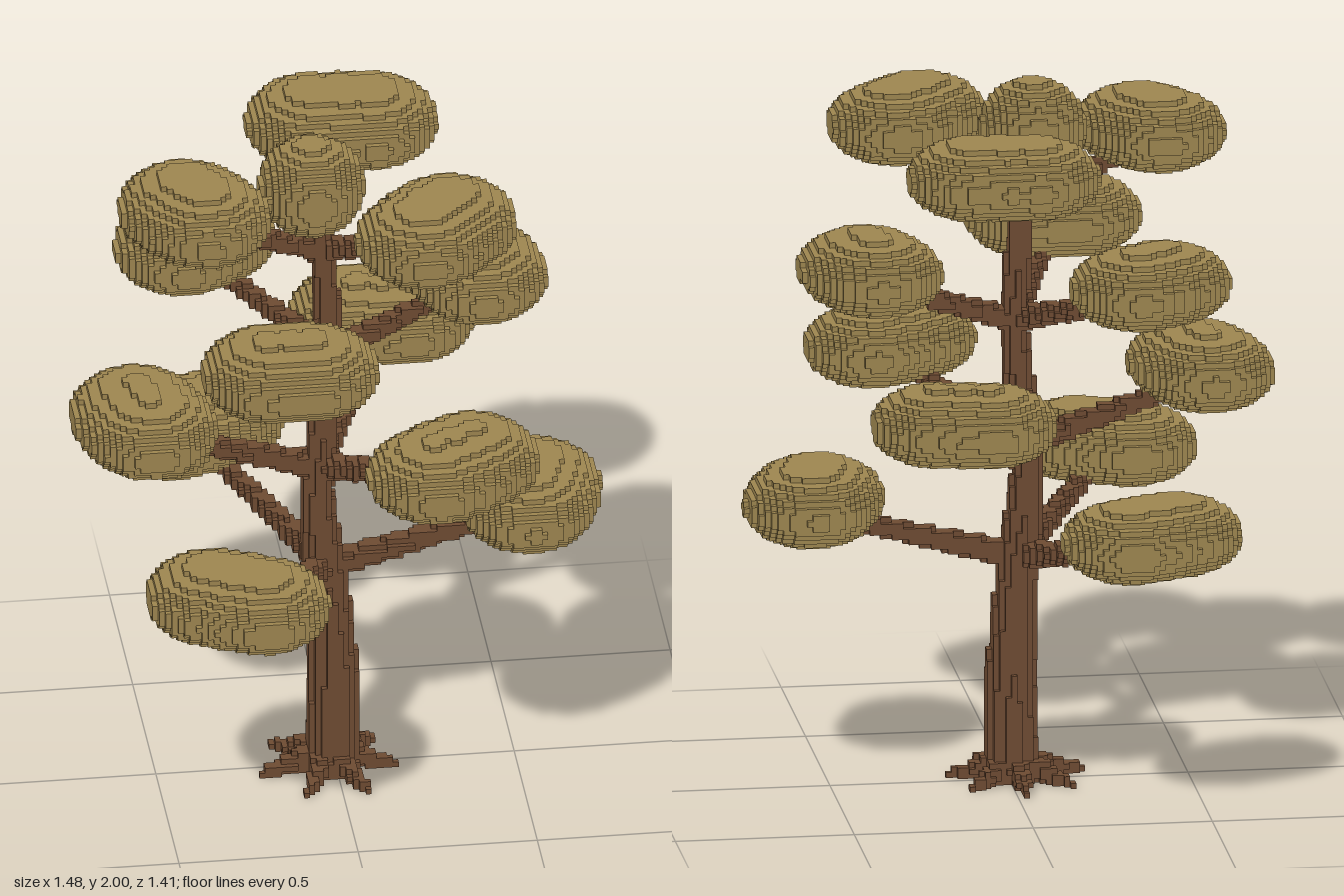
import * as THREE from 'three';

const S = 1 / 64; // voxel size
const OFF = 128, N = 256;
const key = (x, y, z) => ((x + OFF) * N + (y + OFF)) * N + (z + OFF);

// Sparse voxel grid: each cell remembers the part it belongs to
function createGrid() {
  const cells = new Map();
  const fill = (part, min, max, inside) => {
    const lo = min.map((v) => Math.floor(v / S)), hi = max.map((v) => Math.ceil(v / S));
    for (let x = lo[0]; x <= hi[0]; x++)
      for (let y = Math.max(0, lo[1]); y <= hi[1]; y++)
        for (let z = lo[2]; z <= hi[2]; z++)
          if (inside((x + 0.5) * S, (y + 0.5) * S, (z + 0.5) * S)) cells.set(key(x, y, z), { x, y, z, part });
  };
  const ellipsoid = (part, c, r) => fill(part, c.map((v, i) => v - r[i]), c.map((v, i) => v + r[i]),
    (x, y, z) => ((x - c[0]) / r[0]) ** 2 + ((y - c[1]) / r[1]) ** 2 + ((z - c[2]) / r[2]) ** 2 <= 1);
  // Tapered limb between two points
  const limb = (part, a, b, ra, rb) => {
    const A = new THREE.Vector3(...a), D = new THREE.Vector3(...b).sub(A), P = new THREE.Vector3();
    const R = Math.max(ra, rb);
    fill(part, a.map((v, i) => Math.min(v, b[i]) - R), a.map((v, i) => Math.max(v, b[i]) + R), (x, y, z) => {
      P.set(x, y, z).sub(A);
      const t = THREE.MathUtils.clamp(P.dot(D) / D.lengthSq(), 0, 1);
      return P.addScaledVector(D, -t).length() <= ra + (rb - ra) * t;
    });
  };
  return { cells, ellipsoid, limb };
}

// Exposed faces of one part, merged into strips
function voxelGeometry(cells, part) {
  const own = [...cells.values()].filter((c) => c.part === part);
  const pos = [], nor = [], idx = [];
  for (let axis = 0; axis < 3; axis++) {
    const run = axis === 0 ? 2 : 0, other = 3 - axis - run;
    for (const sign of [1, -1]) {
      const exposed = (p) => {
        if (cells.get(key(...p))?.part !== part) return false;
        const q = [...p];
        q[axis] += sign;
        return !cells.has(key(...q));
      };
      for (const c of own) {
        const p = [c.x, c.y, c.z], q = [...p];
        if (!exposed(p)) continue;
        q[run]--;
        if (exposed(q)) continue;
        let len = 1;
        for (q[run] = p[run] + 1; exposed(q); q[run]++) len++;
        const base = pos.length / 3, n = [0, 0, 0];
        n[axis] = sign;
        for (const [u, v] of [[0, 0], [len, 0], [len, 1], [0, 1]]) {
          const k = [...p];
          if (sign > 0) k[axis]++;
          k[run] += u;
          k[other] += v;
          pos.push(...k.map((w) => w * S));
          nor.push(...n);
        }
        // (run, other, axis) is right-handed only when run follows other-cyclic order
        const right = (run + 1) % 3 === other;
        if (right === sign > 0) idx.push(base, base + 1, base + 2, base, base + 2, base + 3);
        else idx.push(base, base + 2, base + 1, base, base + 3, base + 2);
      }
    }
  }
  const g = new THREE.BufferGeometry();
  g.setAttribute('position', new THREE.Float32BufferAttribute(pos, 3));
  g.setAttribute('normal', new THREE.Float32BufferAttribute(nor, 3));
  g.setIndex(idx);
  return g;
}

export function createModel() {
  const bark = new THREE.MeshStandardMaterial({ color: 0x6e4b32 });
  bark.name = 'bark brown';
  const leaf = new THREE.MeshStandardMaterial({ color: 0x9e8650 });
  leaf.name = 'olive foliage';
  const grid = createGrid();
  const parts = [];
  const addPart = (name, material) => { parts.push({ name, material }); return name; };

  // Gently swaying trunk: x, y, radius
  const Z = 0.012;
  const trunk = addPart('trunk', bark);
  const path = [[-0.01, 0, 0.085], [-0.01, 0.06, 0.073], [-0.005, 0.3, 0.067], [-0.025, 0.6, 0.058],
    [-0.055, 0.88, 0.046], [-0.035, 1.1, 0.042], [-0.012, 1.32, 0.038], [-0.025, 1.5, 0.035],
    [-0.04, 1.64, 0.034], [-0.06, 1.82, 0.03]];
  for (let i = 1; i < path.length; i++) {
    const [x0, y0, r0] = path[i - 1], [x1, y1, r1] = path[i];
    grid.limb(trunk, [x0, y0, Z], [x1, y1, Z], r0, r1);
  }

  // Roots spreading along the ground
  const roots = addPart('roots', bark);
  for (let i = 0; i < 7; i++) {
    const a = (i / 7) * Math.PI * 2 + 0.2, c = Math.cos(a), s = Math.sin(a);
    const r = i % 2 ? 0.2 : 0.185;
    grid.limb(roots, [-0.02 + 0.05 * c, 0.04, 0.005 + 0.05 * s],
      [-0.02 + r * c, 0.008, 0.005 + r * s], 0.034, 0.011);
  }

  // Four tiers; each pad is two overlapping lobes given as x, z, x, z
  const tiers = [
    { y: 0.82, fork: [-0.025, 0.64], r: 0.036, pads: [[0.56, -0.045, 0.53, 0.06], [-0.27, 0.525, -0.4, 0.46], [-0.265, -0.525, -0.4, -0.47]] },
    { y: 1.155, fork: [-0.045, 0.96], r: 0.034, pads: [[-0.555, 0.0, -0.53, 0.1], [0.335, 0.375, 0.22, 0.445], [0.12, -0.475, 0.26, -0.45]] },
    { y: 1.5, fork: [-0.015, 1.32], r: 0.033, pads: [[0.39, -0.125, 0.41, -0.045], [-0.24, 0.42, -0.12, 0.425], [-0.39, -0.31, -0.31, -0.36]] },
    { y: 1.835, fork: [-0.04, 1.65], r: 0.03, pads: [[-0.425, 0.06, -0.385, 0.125], [0.29, 0.23, 0.205, 0.315], [-0.015, -0.375, 0.145, -0.36]] },
  ];
  const branches = addPart('branches', bark);
  for (const { y, fork, r, pads } of tiers)
    for (const [x0, z0, x1, z1] of pads)
      grid.limb(branches, [fork[0], fork[1], Z], [(x0 + x1) / 2, y - 0.035, (z0 + z1) / 2], r, 0.02);

  tiers.forEach(({ y, pads }, t) => pads.forEach(([x0, z0, x1, z1], i) => {
    const pad = addPart(`foliagePad_${t + 1}_${i + 1}`, leaf);
    grid.ellipsoid(pad, [x0, y, z0], [0.185, 0.105, 0.185]);
    grid.ellipsoid(pad, [x1, y, z1], [0.185, 0.105, 0.185]);
    grid.ellipsoid(pad, [(x0 + x1) / 2, y, (z0 + z1) / 2], [0.19, 0.105, 0.19]);
  }));

  // Rounded crown at the tip
  const crown = addPart('crown', leaf);
  grid.ellipsoid(crown, [-0.07, 1.865, 0.03], [0.145, 0.135, 0.145]);

  const group = new THREE.Group();
  group.name = 'tieredTree';
  for (const { name, material } of parts) {
    const mesh = new THREE.Mesh(voxelGeometry(grid.cells, name), material);
    mesh.name = name;
    group.add(mesh);
  }
  return group;
}
